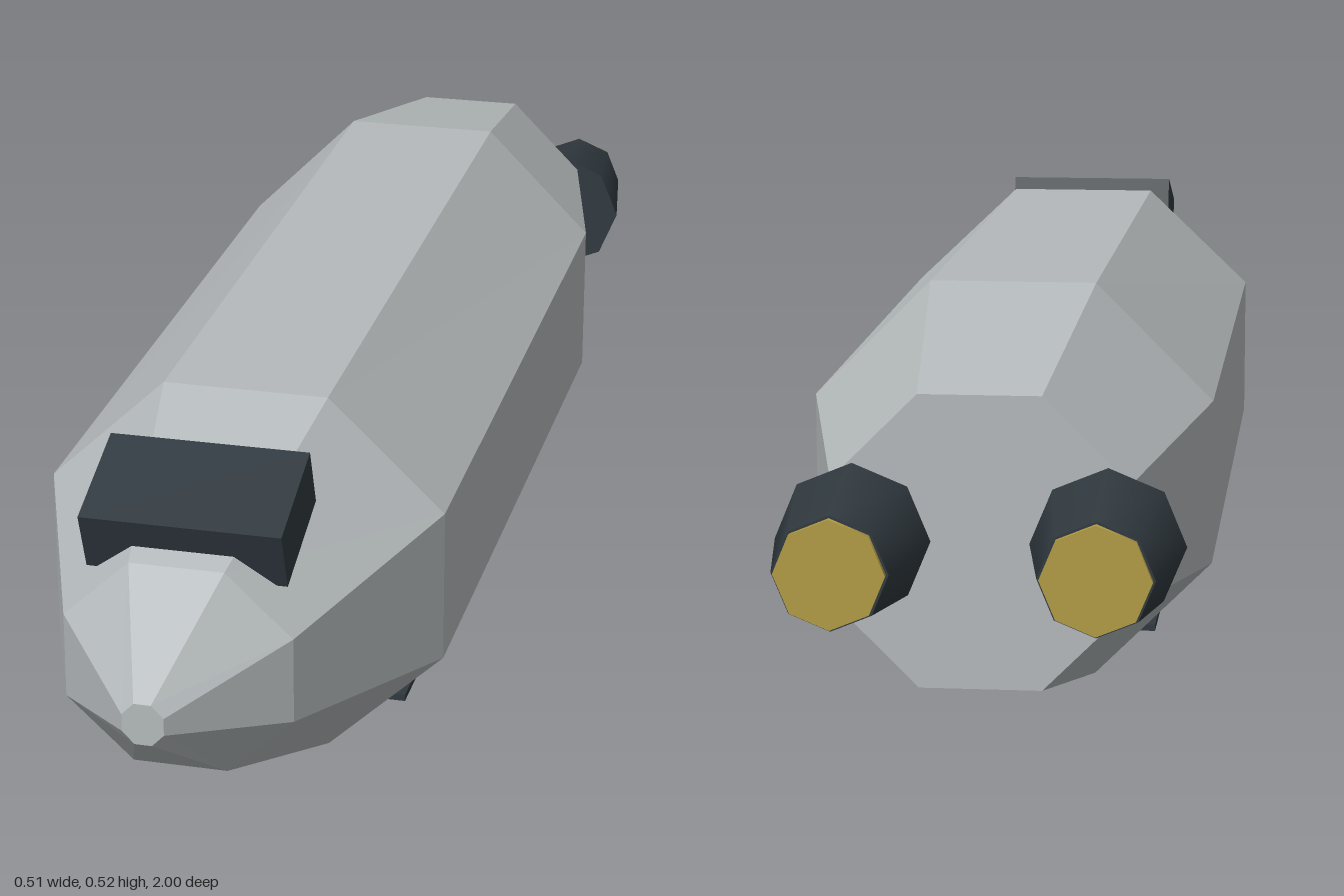
import * as THREE from 'three';

const hullMat = new THREE.MeshStandardMaterial({ name: 'hull grey', color: 0xb4b9bb, flatShading: true });
const darkMat = new THREE.MeshStandardMaterial({ name: 'dark slate', color: 0x30393f });
const goldMat = new THREE.MeshStandardMaterial({ name: 'exhaust gold', color: 0xb39c45 });

// Octagonal hull sections, nose to tail: z, centre y, half width, half height
const SECTIONS = [
  [1.0, 0.285, 0.025, 0.026],
  [0.855, 0.284, 0.14, 0.131],
  [0.545, 0.27, 0.253, 0.241],
  [-0.46, 0.27, 0.253, 0.253],
  [-0.825, 0.271, 0.176, 0.176],
];

function hullGeometry() {
  const n = 8, pos = [], idx = [];
  const scale = 1 / Math.cos(Math.PI / n);
  for (const [z, cy, w, h] of SECTIONS) {
    for (let i = 0; i < n; i++) {
      const a = ((i + 0.5) / n) * Math.PI * 2;
      pos.push(Math.cos(a) * w * scale, cy + Math.sin(a) * h * scale, z);
    }
  }
  const last = (SECTIONS.length - 1) * n;
  for (let s = 0; s < last; s += n) {
    for (let i = 0; i < n; i++) {
      const j = (i + 1) % n;
      idx.push(s + i, s + n + i, s + j, s + j, s + n + i, s + n + j);
    }
  }
  // Nose and tail caps
  for (let i = 1; i < n - 1; i++) {
    idx.push(0, i, i + 1, last, last + i + 1, last + i);
  }
  const g = new THREE.BufferGeometry();
  g.setAttribute('position', new THREE.Float32BufferAttribute(pos, 3));
  g.setIndex(idx);
  const flat = g.toNonIndexed();
  flat.computeVertexNormals();
  return flat;
}

function add(parent, name, geometry, material, x, y, z) {
  const mesh = new THREE.Mesh(geometry, material);
  mesh.name = name;
  mesh.position.set(x, y, z);
  parent.add(mesh);
  return mesh;
}

export function createModel() {
  const ship = new THREE.Group();
  ship.name = 'spaceship';

  add(ship, 'hull', hullGeometry(), hullMat, 0, 0, 0);

  // Tilted cockpit block on the nose
  const cockpit = add(ship, 'cockpit', new THREE.BoxGeometry(0.246, 0.08, 0.144), darkMat, 0, 0.447, 0.76);
  cockpit.rotation.x = 0.35;

  // Flat plate below the hull
  add(ship, 'bellyPlate', new THREE.BoxGeometry(0.326, 0.009, 0.54), darkMat, 0, 0.0045, 0.09);

  // Twin engines with glowing ends
  for (const side of [1, -1]) {
    const engine = new THREE.Group();
    engine.name = side > 0 ? 'leftEngine' : 'rightEngine';
    engine.position.set(side * 0.15, 0.272, 0);
    const nozzle = add(engine, 'nozzle', new THREE.CylinderGeometry(0.067, 0.092, 0.167, 8), darkMat, 0, 0, -0.9085);
    const exhaust = add(engine, 'exhaust', new THREE.CylinderGeometry(0.064, 0.064, 0.009, 8), goldMat, 0, 0, -0.9955);
    nozzle.rotation.x = exhaust.rotation.x = -Math.PI / 2;
    ship.add(engine);
  }
  return ship;
}
